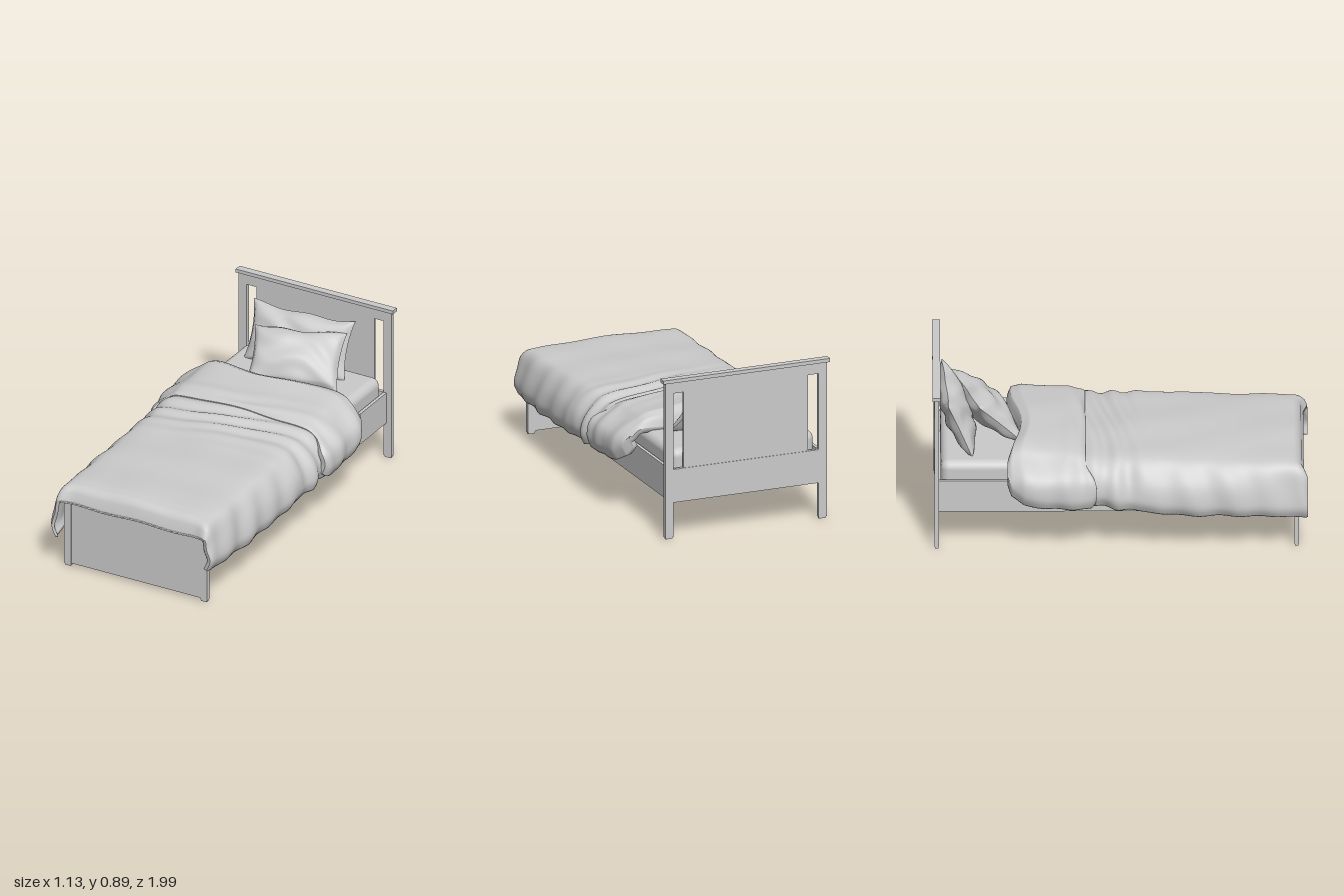
import * as THREE from 'three';
import { RoundedBoxGeometry } from 'three/addons/geometries/RoundedBoxGeometry.js';

const material = new THREE.MeshStandardMaterial({ color: 0xcccccc });
const cloth = new THREE.MeshStandardMaterial({ color: 0xcccccc, side: THREE.DoubleSide });

// Box given by its limits on each axis
function board(name, x0, x1, y0, y1, z0, z1) {
  const mesh = new THREE.Mesh(new THREE.BoxGeometry(x1 - x0, y1 - y0, z1 - z0), material);
  mesh.position.set((x0 + x1) / 2, (y0 + y1) / 2, (z0 + z1) / 2);
  mesh.name = name;
  return mesh;
}

// Piecewise blend of the key sections at a given z
function sectionAt(keys, z) {
  let i = 0;
  while (i < keys.length - 2 && z > keys[i + 1][0]) i++;
  const t = THREE.MathUtils.clamp((z - keys[i][0]) / (keys[i + 1][0] - keys[i][0]), 0, 1);
  return keys[i].map((v, k) => THREE.MathUtils.lerp(v, keys[i + 1][k], t));
}

// Soft creases, strongest where the quilt is pushed together
function crease(x, y, z) {
  const gather = Math.exp(-(((z + 0.08) / 0.17) ** 2));
  const cross = Math.sin(52 * z + 5 * x + 2 * Math.sin(5 * x + 3 * z));
  const soft = Math.sin(13 * z - 7 * x) * Math.sin(9 * x + 6 * z + 14 * y);
  const side = Math.sin(30 * z + 9 * y) * THREE.MathUtils.smoothstep(Math.abs(x), 0.4, 0.5);
  return 0.009 * gather * cross + 0.004 * soft + 0.006 * side;
}

// Cloth with thickness, lofted along z.
// Key: z, crown y, shoulder y, +x bulge, +x hem y, -x bulge, -x hem y
function drape(name, keys, rows, thickness, edgeZ) {
  const half = 64, ring = half * 2 + 2;
  const z0 = keys[0][0], z1 = keys[keys.length - 1][0];
  const pos = [], index = [];
  for (let r = -1; r <= rows + 1; r++) {
    const t = THREE.MathUtils.clamp(r / rows, 0, 1);
    const z = THREE.MathUtils.lerp(z0, z1, t);
    const [, crown, shoulder, bulgeL, hemL, bulgeR, hemR] = sectionAt(keys, z);
    const side = (s, bulge, hem) => [
      [s * (bulge - 0.02), hem], [s * bulge, hem + 0.06],
      [s * (bulge - 0.02), THREE.MathUtils.lerp(hem, shoulder, 0.65)],
      [s * 0.445, shoulder], [s * 0.37, THREE.MathUtils.lerp(shoulder, crown, 0.65)],
      [s * 0.2, crown - 0.006]];
    const pts = [...side(-1, bulgeR, hemR), [0, crown], ...side(1, bulgeL, hemL).reverse()];
    const curve = new THREE.SplineCurve(pts.map(p => new THREE.Vector2(...p)));
    const outer = [], inner = [];
    const closed = r < 0 || r > rows; // ends pinch shut
    for (let j = 0; j <= half; j++) {
      const p = curve.getPoint(j / half), d = curve.getTangent(j / half);
      const zz = z + edgeZ(p.x, t);
      const w = crease(p.x, p.y, zz);
      const x = p.x - d.y * w, y = p.y + d.x * w;
      const k = closed ? 0 : thickness;
      outer.push([x, y, zz]);
      inner.push([x + d.y * k, y - d.x * k, zz]);
    }
    for (const p of [...outer, ...inner.reverse()]) pos.push(...p);
  }
  for (let i = 0; i < rows + 2; i++) {
    for (let j = 0; j < ring; j++) {
      const a = i * ring + j, b = i * ring + (j + 1) % ring;
      index.push(a, a + ring, b, b, a + ring, b + ring);
    }
  }
  const geo = new THREE.BufferGeometry();
  geo.setAttribute('position', new THREE.Float32BufferAttribute(pos, 3));
  geo.setIndex(index);
  geo.computeVertexNormals();
  const mesh = new THREE.Mesh(geo, cloth);
  mesh.name = name;
  return mesh;
}

// Stuffed cushion with pointed corners and hollowed edges
function pillow(name, w, h, depth, seed) {
  const geo = new THREE.BoxGeometry(2, 2, 2, 36, 26, 1);
  const p = geo.attributes.position;
  for (let i = 0; i < p.count; i++) {
    const u = p.getX(i), v = p.getY(i), s = Math.sign(p.getZ(i));
    const puff = Math.pow(Math.max(0, (1 - u * u) * (1 - v * v)), 0.45);
    const fold = 0.007 * puff * Math.sin(7 * v + 3 * u + seed + 2 * Math.sin(4 * u + seed));
    p.setXYZ(i,
      (w / 2) * u * (1 - 0.07 * (1 - v * v)),
      (h / 2) * v * (1 - 0.09 * (1 - u * u)) + 0.006 * Math.sin(6 * u + seed),
      s * (depth / 2) * puff + fold);
  }
  geo.computeVertexNormals();
  const mesh = new THREE.Mesh(geo, cloth);
  mesh.name = name;
  return mesh;
}

export function createModel() {
  const bed = new THREE.Group();
  bed.name = 'bed';

  // Headboard
  const head = new THREE.Group();
  head.name = 'headboard';
  head.add(
    board('headCap', -0.48, 0.48, 0.87, 0.89, -1, -0.958),
    board('headTopRail', -0.42, 0.42, 0.81, 0.87, -0.99, -0.967),
    board('headPanel', -0.36, 0.36, 0.38, 0.81, -0.985, -0.972),
    board('headLowerRail', -0.42, 0.42, 0.2, 0.385, -0.988, -0.968));

  // Footboard
  const foot = new THREE.Group();
  foot.name = 'footboard';
  foot.add(
    board('footPanel', -0.395, 0.395, 0.015, 0.388, 0.918, 0.932),
    board('footCap', -0.435, 0.435, 0.385, 0.405, 0.912, 0.942));

  // Posts, feet and side rails, mirrored
  for (const s of [-1, 1]) {
    const span = (name, a, b, ...rest) => board(name, Math.min(s * a, s * b), Math.max(s * a, s * b), ...rest);
    head.add(span('headPost', 0.418, 0.466, 0.01, 0.87, -0.99, -0.966));
    head.add(span('headFoot', 0.422, 0.462, 0, 0.01, -0.987, -0.969));
    foot.add(span('footPost', 0.393, 0.437, 0.01, 0.387, 0.914, 0.938));
    foot.add(span('footFoot', 0.397, 0.433, 0, 0.01, 0.917, 0.935));
    bed.add(span('sideRail', 0.418, 0.436, 0.205, 0.385, -0.968, 0.918));
  }
  bed.add(head, foot);

  // Base and mattress
  bed.add(board('base', -0.418, 0.418, 0.245, 0.265, -0.968, 0.918));
  const mattress = new THREE.Mesh(new RoundedBoxGeometry(0.825, 0.22, 1.865, 5, 0.045), material);
  mattress.position.set(0, 0.37, -0.025);
  mattress.name = 'mattress';
  bed.add(mattress);

  // Quilt, its corners hanging past the foot end
  bed.add(drape('quilt', [
    [-0.42, 0.5, 0.475, 0.51, 0.3, 0.51, 0.29],
    [-0.2, 0.525, 0.48, 0.525, 0.27, 0.52, 0.27],
    [0, 0.525, 0.475, 0.53, 0.255, 0.525, 0.25],
    [0.3, 0.517, 0.475, 0.525, 0.23, 0.53, 0.215],
    [0.6, 0.508, 0.465, 0.515, 0.22, 0.525, 0.205],
    [0.86, 0.5, 0.46, 0.5, 0.215, 0.505, 0.195],
    [0.92, 0.492, 0.455, 0.497, 0.215, 0.5, 0.185],
    [0.95, 0.465, 0.435, 0.492, 0.215, 0.495, 0.182],
    [0.965, 0.405, 0.4, 0.48, 0.22, 0.48, 0.18]], 110, 0.018,
    (x, t) => 0.022 * THREE.MathUtils.smoothstep(t, 0.9, 1) * THREE.MathUtils.smoothstep(Math.abs(x), 0.36, 0.46)));

  // Turned-down top of the quilt
  bed.add(drape('quiltFold', [
    [-0.565, 0.5, 0.485, 0.5, 0.39, 0.51, 0.38],
    [-0.55, 0.56, 0.505, 0.525, 0.34, 0.535, 0.33],
    [-0.5, 0.585, 0.515, 0.55, 0.305, 0.56, 0.29],
    [-0.4, 0.572, 0.515, 0.562, 0.285, 0.567, 0.27],
    [-0.27, 0.56, 0.51, 0.562, 0.28, 0.555, 0.26],
    [-0.21, 0.55, 0.5, 0.56, 0.285, 0.545, 0.265],
    [-0.19, 0.53, 0.485, 0.55, 0.3, 0.535, 0.28]], 50, 0.025,
    (x, t) => (1 - t) * (0.03 * Math.cos(8 * x + 0.6) - 0.01) + t * 0.06 * THREE.MathUtils.smoothstep(Math.abs(x), 0.44, 0.54)));

  // Pillows leaning on the headboard
  const back = pillow('backPillow', 0.6, 0.33, 0.15, 1);
  back.position.set(-0.04, 0.615, -0.868);
  back.rotation.set(-0.4, 0.06, 0, 'YXZ');
  const front = pillow('frontPillow', 0.5, 0.33, 0.17, 4);
  front.position.set(0.03, 0.605, -0.715);
  front.rotation.set(-0.8, 0.3, 0, 'YXZ');
  bed.add(back, front);

  return bed;
}
